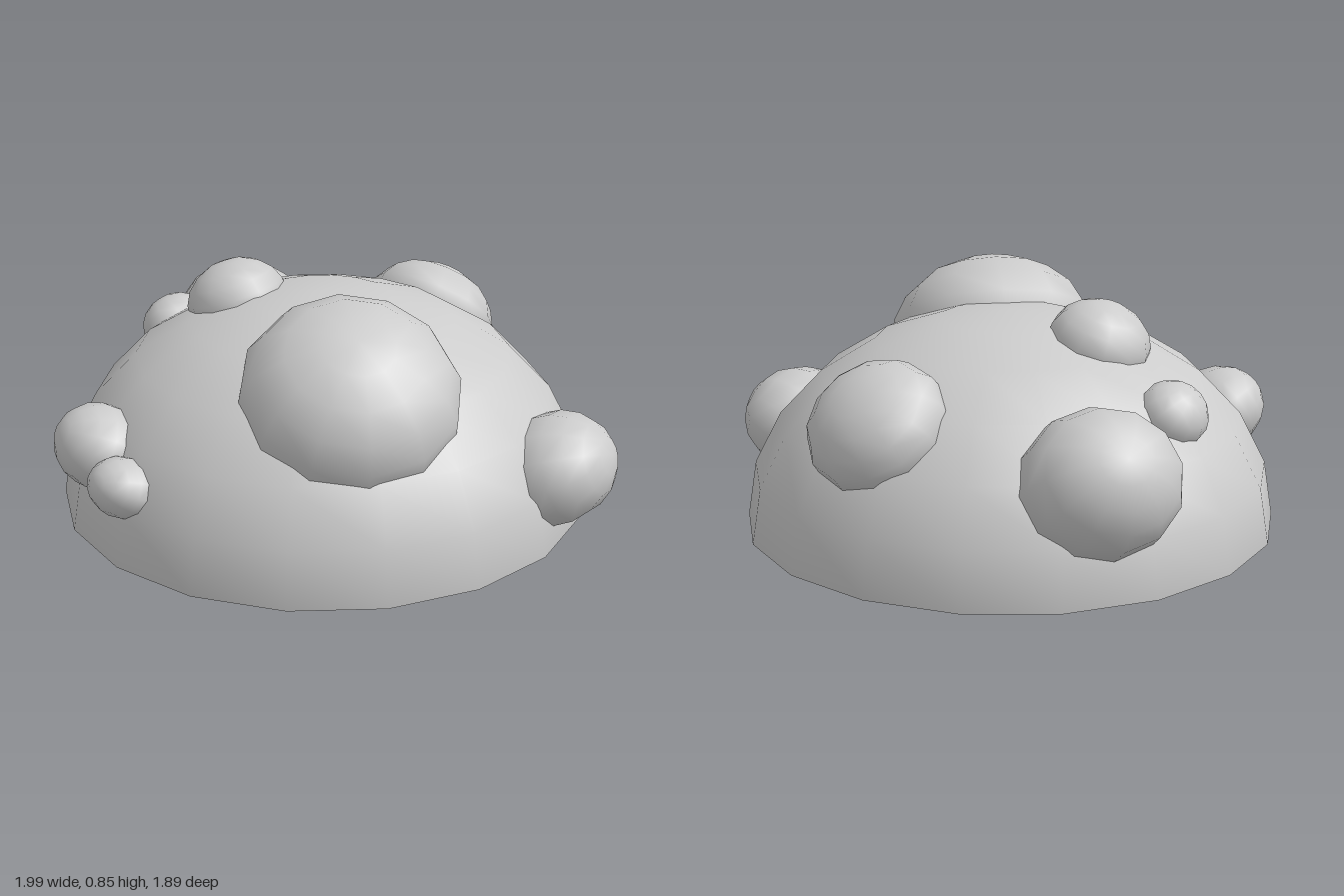
import * as THREE from 'three';

const DOME = { x: -0.03, z: -0.02, radius: 0.93, height: 0.745 };

// [name, centre x, y, z, radius across, radius along the slope, height]
const BUMPS = [
  ['largeFrontBump', 0.35, 0.54, 0.27, 0.375, 0.375, 0.285],
  ['backBump', -0.085, 0.475, -0.68, 0.25, 0.24, 0.18],
  ['leftSideBump', 0.785, 0.23, -0.29, 0.235, 0.19, 0.217],
  ['rightSideBump', -0.74, 0.355, -0.335, 0.27, 0.245, 0.253],
  ['smallRightBump', -0.69, 0.485, 0.07, 0.133, 0.12, 0.108],
  ['topBump', -0.35, 0.66, 0.083, 0.185, 0.178, 0.15],
  ['lowerFrontBump', -0.36, 0.3, 0.73, 0.178, 0.148, 0.17],
  ['smallFrontBump', -0.148, 0.25, 0.825, 0.128, 0.103, 0.124],
];

export function createModel() {
  const group = new THREE.Group();
  const material = new THREE.MeshStandardMaterial({ color: 0xcccccc, side: THREE.DoubleSide });

  // Hollow dome, open underneath
  const dome = new THREE.Mesh(
    new THREE.SphereGeometry(1, 18, 6, THREE.MathUtils.degToRad(5), Math.PI * 2, 0, Math.PI / 2),
    material,
  );
  dome.name = 'dome';
  dome.scale.set(DOME.radius, DOME.height, DOME.radius);
  dome.position.set(DOME.x, 0, DOME.z);
  group.add(dome);

  // Rounded bumps standing out along the dome's surface normal
  const up = new THREE.Vector3(0, 1, 0);
  for (const [name, x, y, z, across, along, height] of BUMPS) {
    const normal = new THREE.Vector3(
      (x - DOME.x) / DOME.radius ** 2,
      y / DOME.height ** 2,
      (z - DOME.z) / DOME.radius ** 2,
    ).normalize();
    const side = new THREE.Vector3().crossVectors(up, normal).normalize();
    const slope = new THREE.Vector3().crossVectors(side, normal);

    // Slightly more than half a sphere, so the rim pokes through the shell
    const bump = new THREE.Mesh(
      new THREE.SphereGeometry(1, 12, 5, 0, Math.PI * 2, 0, Math.PI * 0.54),
      material,
    );
    bump.name = name;
    bump.scale.set(across, height, along);
    bump.quaternion.setFromRotationMatrix(new THREE.Matrix4().makeBasis(side, normal, slope));
    bump.position.set(x, y, z);
    group.add(bump);
  }
  return group;
}
